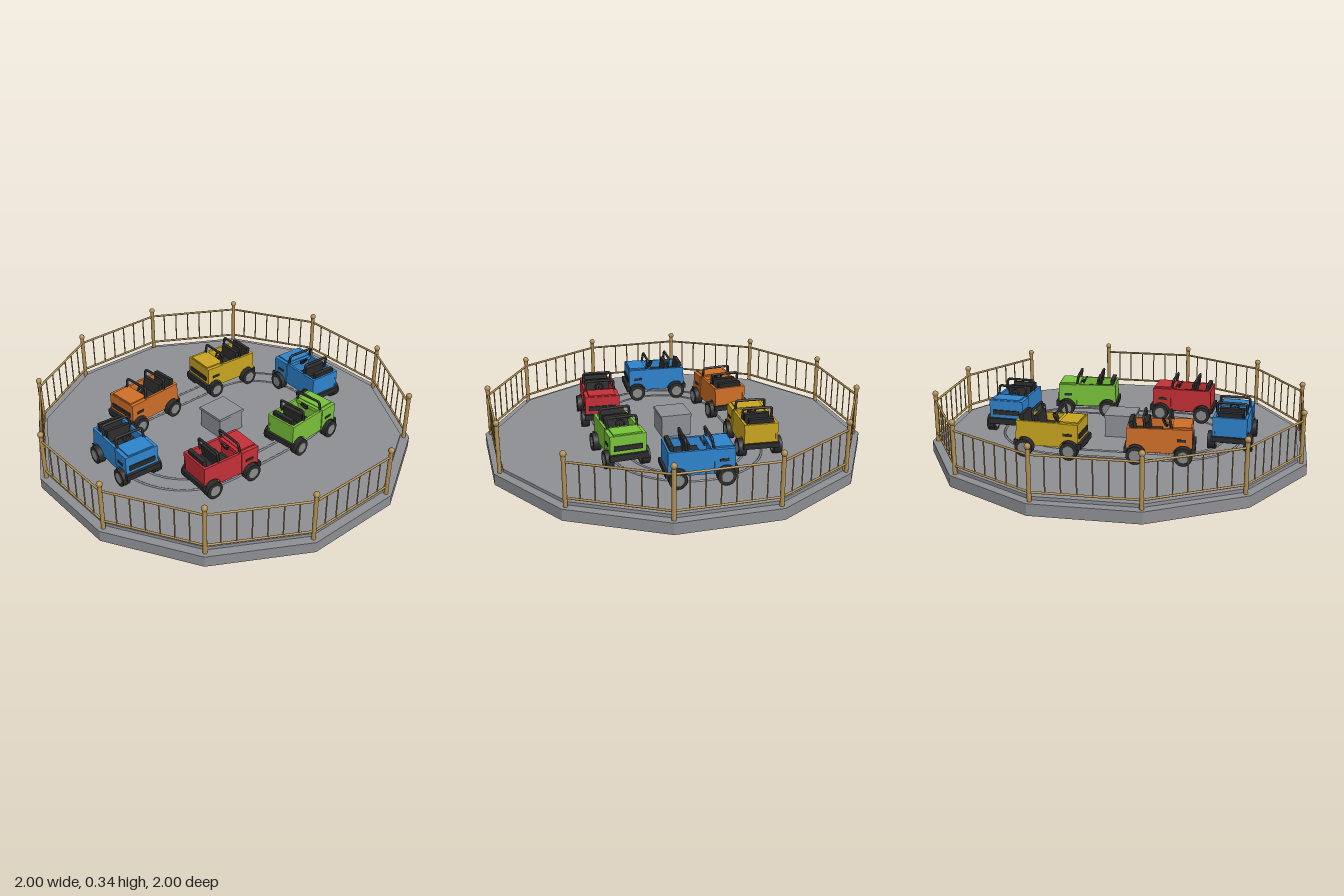
import * as THREE from 'three';

const mat = (name, color) => {
  const m = new THREE.MeshStandardMaterial({ color });
  m.name = name;
  return m;
};

export function createModel() {
  const root = new THREE.Group();
  root.name = 'carRide';
  const grey = mat('platform grey', 0x8e8f94);
  const gold = mat('railing brass', 0xb08f52);
  const dark = mat('rubber black', 0x2b2b2c);
  const hubGrey = mat('hub grey', 0x8a8a8a);
  const paint = {
    blue: mat('blue paint', 0x2e83cc),
    red: mat('red paint', 0xc52f36),
    orange: mat('orange paint', 0xcf6f28),
    yellow: mat('yellow paint', 0xc9a51f),
    green: mat('green paint', 0x79c23a),
  };

  const add = (parent, name, geo, material, x = 0, y = 0, z = 0) => {
    const m = new THREE.Mesh(geo, material);
    m.name = name;
    m.position.set(x, y, z);
    parent.add(m);
    return m;
  };
  const box = (parent, name, material, w, h, d, x, y, z) =>
    add(parent, name, new THREE.BoxGeometry(w, h, d), material, x, y, z);
  // Straight round bar between two points
  const bar = (parent, name, material, a, b, r, sides = 8) => {
    const m = add(parent, name, new THREE.CylinderGeometry(r, r, a.distanceTo(b), sides), material);
    m.position.copy(a).lerp(b, 0.5);
    m.quaternion.setFromUnitVectors(new THREE.Vector3(0, 1, 0), b.clone().sub(a).normalize());
    return m;
  };
  const V = (x, y, z) => new THREE.Vector3(x, y, z);

  // Twelve-sided platform: base and raised floor
  const deck = (name, apothem, y0, y1) => {
    const r = apothem / Math.cos(Math.PI / 12);
    const g = new THREE.CylinderGeometry(r, r, y1 - y0, 12).toNonIndexed();
    g.computeVertexNormals();
    add(root, name, g, grey, 0, (y0 + y1) / 2, 0).rotation.y = Math.PI / 12;
  };
  deck('platformBase', 1, 0, 0.06);
  deck('platformFloor', 0.953, 0.06, 0.077);

  // Railing with one open side as the entrance
  const railing = new THREE.Group();
  railing.name = 'railing';
  root.add(railing);
  const corner = (k, y) => {
    const a = Math.PI / 12 + (k * Math.PI) / 6, r = 0.97 / Math.cos(Math.PI / 12);
    return V(r * Math.sin(a), y, r * Math.cos(a));
  };
  for (let k = 0; k < 12; k++) {
    bar(railing, 'post', gold, corner(k, 0.06), corner(k, 0.32), 0.011, 12);
    add(railing, 'postKnob', new THREE.SphereGeometry(0.016, 14, 10), gold).position.copy(corner(k, 0.327));
    if (k === 0) continue;
    for (const y of [0.105, 0.287]) bar(railing, 'rail', gold, corner(k, y), corner(k + 1, y), 0.006);
    for (let i = 1; i < 7; i++) {
      const p = (y) => corner(k, y).lerp(corner(k + 1, y), i / 7);
      bar(railing, 'baluster', gold, p(0.105), p(0.287), 0.0035, 6);
    }
  }

  // Control box in the middle
  box(root, 'controlBox', grey, 0.16, 0.11, 0.16, 0, 0.13, 0);
  box(root, 'controlBoxLid', grey, 0.17, 0.015, 0.17, 0, 0.192, 0);

  // Oval pair of track rails
  for (const r of [0.31, 0.4]) {
    const pts = [];
    for (const side of [1, -1]) {
      for (let i = 0; i <= 16; i++) {
        const a = (i / 16) * Math.PI;
        pts.push(V(side * (0.255 + r * Math.sin(a)), 0.078, side * r * Math.cos(a)));
      }
      for (const x of [0.13, 0, -0.13]) pts.push(V(side * x, 0.078, -side * r));
    }
    const path = new THREE.CatmullRomCurve3(pts, true);
    add(root, 'trackRail', new THREE.TubeGeometry(path, 160, 0.006, 6, true), grey);
  }

  // Body side outline with a round wheel arch
  const sideShape = (x0, x1, y0, y1, axle) => {
    const s = new THREE.Shape();
    const r = 0.053, dy = y0 - 0.125, dx = Math.sqrt(r * r - dy * dy), a = Math.asin(dy / r);
    s.moveTo(x0, y0);
    s.lineTo(axle - dx, y0);
    s.absarc(axle, 0.125, r, Math.PI - a, a, true);
    s.lineTo(x1, y0);
    s.lineTo(x1, y1);
    s.lineTo(x0, y1);
    s.closePath();
    return s;
  };
  const slab = (parent, name, shape, depth, z, material) =>
    add(parent, name, new THREE.ExtrudeGeometry(shape, { depth, bevelEnabled: false, curveSegments: 12 }), material, 0, 0, z - depth / 2);
  // Dark hoop used for the windscreen frame and roll bar
  const hoop = (parent, name, x0, x1, top, half) => {
    const a = V(x0, 0.25, half), b = V(x1, top, half);
    const flip = (p) => V(p.x, p.y, -p.z);
    const path = new THREE.CurvePath();
    const c0 = b.clone().lerp(a, 0.2), c1 = V(x1, top, half - 0.014);
    path.add(new THREE.LineCurve3(a, c0));
    path.add(new THREE.QuadraticBezierCurve3(c0, b, c1));
    path.add(new THREE.LineCurve3(c1, flip(c1)));
    path.add(new THREE.QuadraticBezierCurve3(flip(c1), flip(b), flip(c0)));
    path.add(new THREE.LineCurve3(flip(c0), flip(a)));
    add(parent, name, new THREE.TubeGeometry(path, 40, 0.007, 8), dark);
  };

  // Open-topped car facing +x
  const car = (color, x, z, degrees) => {
    const g = new THREE.Group();
    g.name = 'car';
    g.position.set(x, 0, z);
    g.rotation.y = THREE.MathUtils.degToRad(degrees);
    root.add(g);
    const p = paint[color];

    // Bodywork
    slab(g, 'hood', sideShape(0.062, 0.165, 0.135, 0.262, 0.12), 0.19, 0, p);
    for (const s of [1, -1]) slab(g, 'tubSide', sideShape(-0.162, 0.064, 0.135, 0.262, -0.12), 0.014, s * 0.083, p);
    box(g, 'tailgate', p, 0.014, 0.127, 0.178, -0.158, 0.1985, 0);
    box(g, 'dashboard', p, 0.02, 0.02, 0.18, 0.056, 0.255, 0);
    box(g, 'hoodPanel', p, 0.095, 0.008, 0.15, 0.112, 0.265, 0);
    box(g, 'chassis', dark, 0.3, 0.03, 0.1, 0, 0.135, 0);
    box(g, 'tubFloor', dark, 0.21, 0.012, 0.154, -0.045, 0.165, 0);

    // Bumpers, grille and lamps
    box(g, 'frontBumper', dark, 0.022, 0.032, 0.2, 0.17, 0.148, 0);
    box(g, 'rearBumper', dark, 0.022, 0.028, 0.19, -0.168, 0.146, 0);
    box(g, 'grille', dark, 0.008, 0.026, 0.15, 0.167, 0.196, 0);
    for (const s of [1, -1]) box(g, 'sideVent', dark, 0.045, 0.014, 0.008, 0.11, 0.205, s * 0.094);

    // Two rows of seats
    for (const sx of [-0.105, -0.025]) {
      box(g, 'seatCushion', dark, 0.065, 0.055, 0.13, sx, 0.195, 0);
      const back = box(g, 'seatBack', dark, 0.022, 0.105, 0.13, sx - 0.035, 0.235, 0);
      back.rotation.z = 0.12;
    }

    // Steering wheel
    const wheel = add(g, 'steeringWheel', new THREE.TorusGeometry(0.021, 0.005, 6, 18), dark, 0.022, 0.268, 0);
    wheel.rotation.set(0, Math.PI / 2, 0);
    wheel.rotation.z = 0;
    wheel.rotateX(-0.5);
    bar(g, 'steeringColumn', dark, V(0.022, 0.268, 0), V(0.06, 0.25, 0), 0.006);

    // Windscreen frame and roll bar
    hoop(g, 'windscreenFrame', 0.062, 0.05, 0.315, 0.078);
    hoop(g, 'rollBar', -0.072, -0.08, 0.318, 0.078);

    // Wheels
    for (const wx of [0.12, -0.12]) {
      bar(g, 'axle', dark, V(wx, 0.125, -0.09), V(wx, 0.125, 0.09), 0.01);
      for (const s of [1, -1]) {
        const tyre = add(g, 'tyre', new THREE.CylinderGeometry(0.047, 0.047, 0.042, 20), dark, wx, 0.125, s * 0.095);
        tyre.rotation.x = Math.PI / 2;
        const hub = add(g, 'hub', new THREE.CylinderGeometry(0.029, 0.029, 0.046, 18), hubGrey, wx, 0.125, s * 0.095);
        hub.rotation.x = Math.PI / 2;
      }
    }
  };
  car('red', -0.305, 0.35, -4);
  car('green', 0.26, 0.355, 4);
  car('blue', 0.612, 0.04, 86);
  car('yellow', 0.305, -0.355, 176);
  car('orange', -0.26, -0.355, 184);
  car('blue', -0.612, -0.05, 266);

  return root;
}
